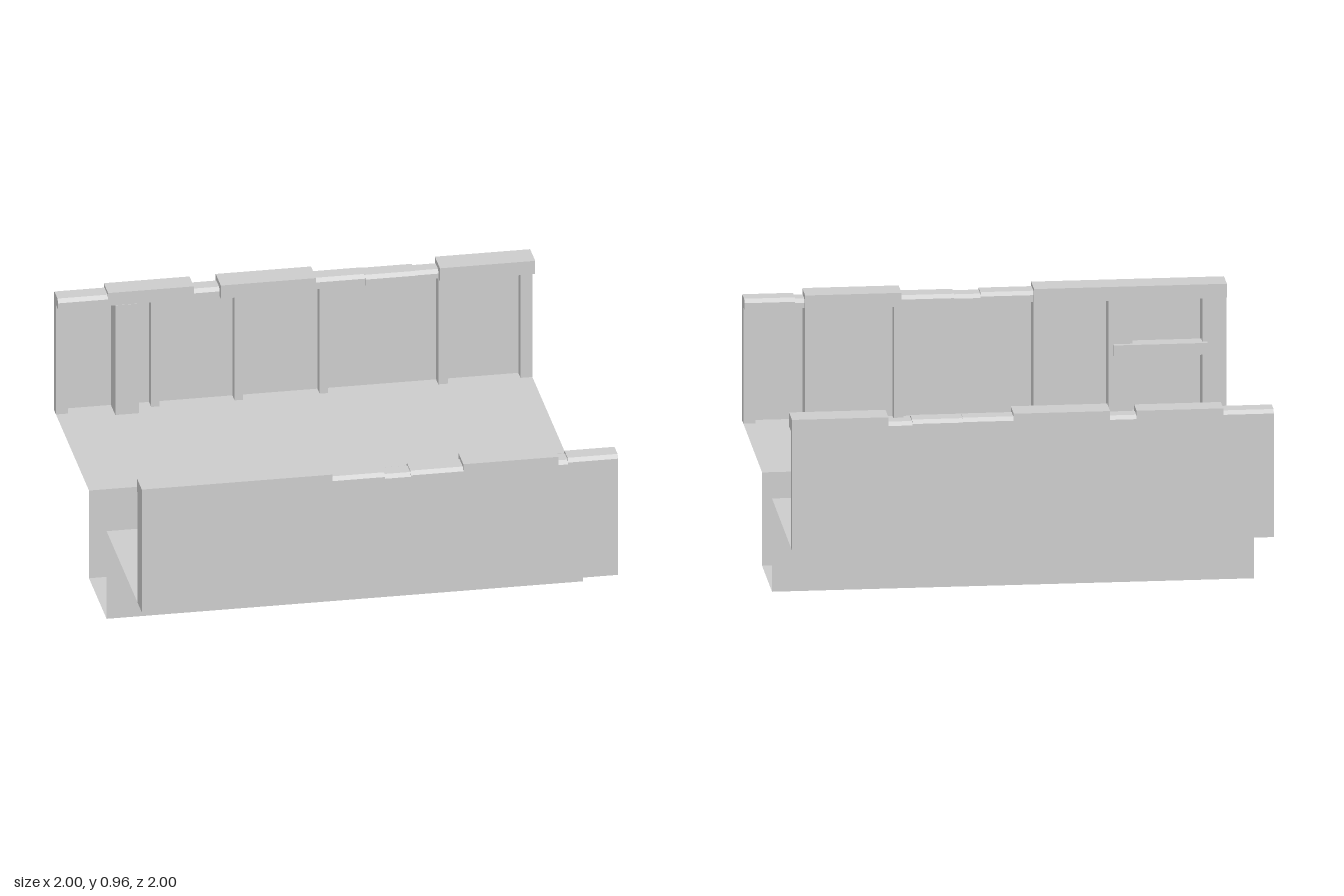
import * as THREE from 'three';

const solid = new THREE.MeshStandardMaterial({ color: 0xcccccc, flatShading: true });
const sheet = new THREE.MeshStandardMaterial({ color: 0xcccccc, side: THREE.DoubleSide });

const FLOOR = 0.4, RIM = 0.9;

// Box from x, y ranges, reaching from depth z0 to z1 on one side (s = 1 front, -1 back)
function block(name, s, x0, x1, y0, y1, z0, z1) {
  const mesh = new THREE.Mesh(new THREE.BoxGeometry(x1 - x0, y1 - y0, z1 - z0), solid);
  mesh.position.set((x0 + x1) / 2, (y0 + y1) / 2, s * (z0 + z1) / 2);
  mesh.name = name;
  return mesh;
}

// Worn coping stone: bevelled section swept along x
function wornStone(s, x0, x1, top, inner) {
  const b = 0.015;
  const section = [[1, RIM], [1, top - b], [1 - b, top], [inner + b, top], [inner, top - b], [inner, RIM]];
  const shape = new THREE.Shape(section.map(([z, y]) => new THREE.Vector2(-s * z, y)));
  const geo = new THREE.ExtrudeGeometry(shape, { depth: x1 - x0, bevelEnabled: false });
  geo.rotateY(Math.PI / 2).translate(x0, 0, 0);
  const mesh = new THREE.Mesh(geo, solid);
  mesh.name = 'wornCopingStone';
  return mesh;
}

// Wall fittings: posts [x0, x1, depth], square slabs and worn stones [x0, x1, top, inner z]
const sides = [
  {
    name: 'frontWallTrim', s: 1,
    posts: [[0.95, 1, 0.05], [0.65, 0.75, 0.1], [0.335, 0.375, 0.05],
      [-0.3, -0.2, 0.1], [-0.61, -0.51, 0.1], [-1, -0.9, 0.1]],
    slabs: [[-1, -0.2, 0.96, 0.885], [0.35, 0.75, 0.96, 0.885]],
    worn: [[-0.2, 0.02, 0.945, 0.9], [0.02, 0.13, 0.937, 0.907], [0.13, 0.35, 0.943, 0.895],
      [0.75, 0.79, 0.937, 0.91], [0.79, 1, 0.945, 0.9]],
  },
  {
    name: 'backWallTrim', s: -1,
    posts: [[-1, -0.95, 0.05], [-0.76, -0.66, 0.1], [-0.6, -0.565, 0.05], [-0.25, -0.215, 0.05],
      [0.107, 0.142, 0.05], [0.605, 0.645, 0.05], [0.95, 1, 0.05]],
    slabs: [[-0.79, -0.43, 0.958, 0.902], [-0.32, 0.08, 0.96, 0.885], [0.6, 1, 0.96, 0.885]],
    worn: [[-1, -0.79, 0.945, 0.9], [-0.43, -0.32, 0.937, 0.91], [0.08, 0.29, 0.945, 0.905],
      [0.29, 0.5, 0.943, 0.9], [0.5, 0.6, 0.937, 0.915]],
  },
];

export function createModel() {
  const model = new THREE.Group();
  model.name = 'channelSection';

  // Thin shell: wall, walkway, sunken channel, walkway, wall, as [y, z] corners
  const profile = [[RIM, 1], [FLOOR, 1], [FLOOR, 0.2], [0, 0.2], [0, -0.2], [FLOOR, -0.2], [FLOOR, -1], [RIM, -1]];
  const names = ['frontWall', 'frontWalkway', 'channelFrontSide', 'channelBed',
    'channelBackSide', 'backWalkway', 'backWall'];
  names.forEach((name, i) => {
    const [y0, z0] = profile[i], [y1, z1] = profile[i + 1];
    const geo = new THREE.PlaneGeometry(2, Math.hypot(y1 - y0, z1 - z0));
    geo.rotateX(Math.atan2(z1 - z0, y1 - y0));
    const mesh = new THREE.Mesh(geo, sheet);
    mesh.position.set(0, (y0 + y1) / 2, (z0 + z1) / 2);
    mesh.name = name;
    model.add(mesh);
  });

  // Posts and coping of both walls
  for (const { name, s, posts, slabs, worn } of sides) {
    const trim = new THREE.Group();
    trim.name = name;
    for (const [x0, x1, d] of posts) trim.add(block('wallPost', s, x0, x1, FLOOR, RIM, 1 - d, 1));
    for (const [x0, x1, top, inner] of slabs) trim.add(block('copingSlab', s, x0, x1, RIM, top, inner, 1));
    for (const w of worn) trim.add(wornStone(s, ...w));
    model.add(trim);
  }

  // Cross plank between the two end posts of the front wall
  model.add(block('crossPlank', 1, -0.92, -0.53, 0.66, 0.71, 0.88, 0.95));
  return model;
}
